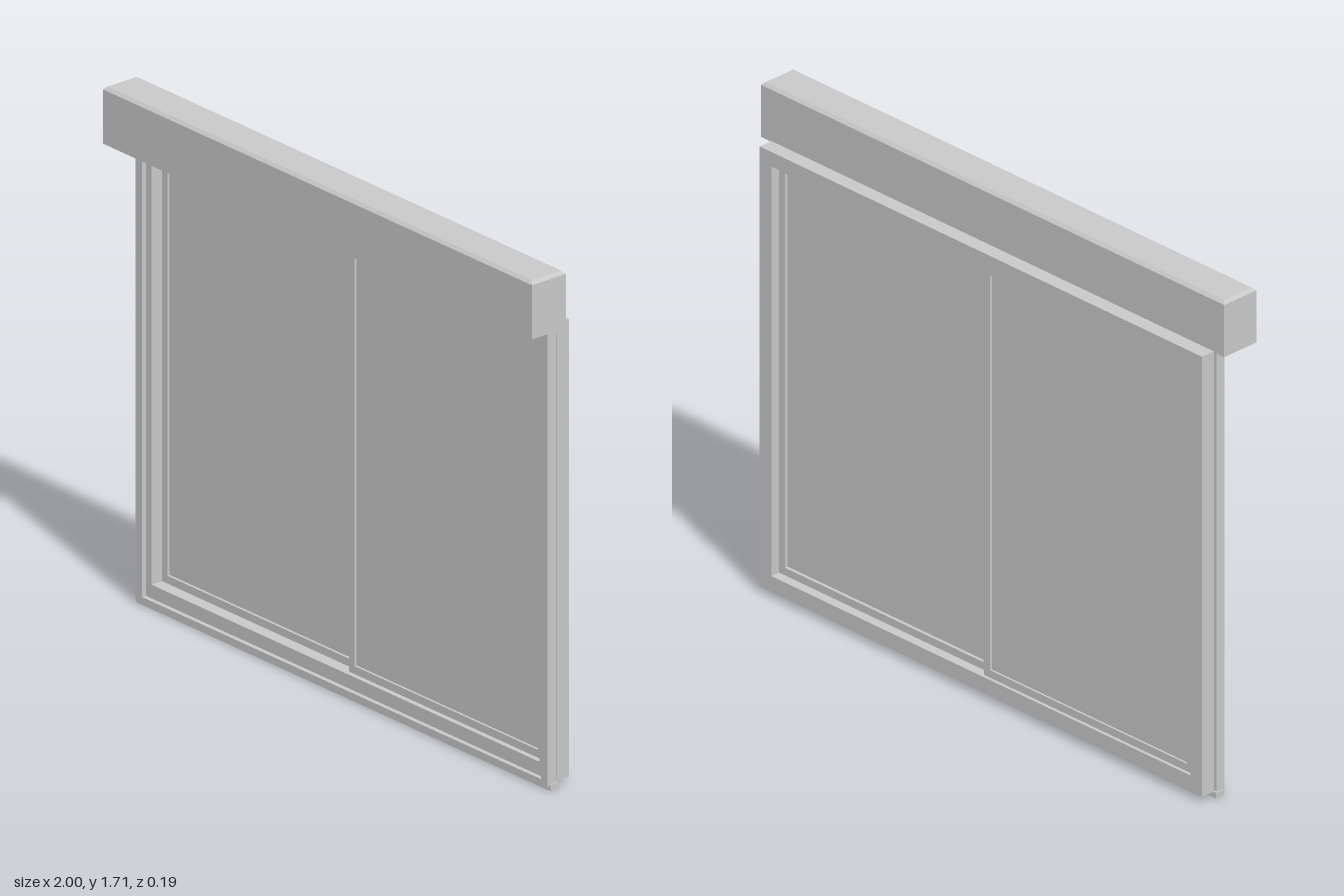
import * as THREE from 'three';

export function createModel() {
  const root = new THREE.Group();
  root.name = 'slidingWindow';
  const grey = new THREE.MeshStandardMaterial({ color: 0xc9c9c9 });
  grey.name = 'lightGrey';

  function add(name, geometry, parent = root) {
    const mesh = new THREE.Mesh(geometry, grey);
    mesh.name = name;
    parent.add(mesh);
    return mesh;
  }

  // Box given by its limits on each axis
  function box(name, x0, x1, y0, y1, z0, z1, parent) {
    const g = new THREE.BoxGeometry(x1 - x0, y1 - y0, z1 - z0);
    g.translate((x0 + x1) / 2, (y0 + y1) / 2, (z0 + z1) / 2);
    return add(name, g, parent);
  }

  // Rectangular ring: outer and inner are [x0, x1, y0, y1]
  function ring(name, outer, inner, z0, z1, parent) {
    const trace = (path, [x0, x1, y0, y1]) =>
      path.moveTo(x0, y0).lineTo(x1, y0).lineTo(x1, y1).lineTo(x0, y1).closePath();
    const shape = new THREE.Shape();
    trace(shape, outer);
    const hole = new THREE.Path();
    trace(hole, inner);
    shape.holes.push(hole);
    const g = new THREE.ExtrudeGeometry(shape, { depth: z1 - z0, bevelEnabled: false });
    g.translate(0, 0, z0);
    return add(name, g, parent);
  }

  // Shutter housing with a chamfered lid
  box('shutterBox', -1, 1, 1.522, 1.7, -0.043, 0.093);
  const lid = new THREE.BoxGeometry(2, 0.01, 0.136);
  const p = lid.attributes.position;
  for (let i = 0; i < p.count; i++) {
    if (p.getY(i) > 0) {
      p.setX(i, p.getX(i) - Math.sign(p.getX(i)) * 0.01);
      p.setZ(i, p.getZ(i) - Math.sign(p.getZ(i)) * 0.01);
    }
  }
  lid.computeVertexNormals();
  lid.translate(0, 1.705, 0.025);
  add('shutterBoxLid', lid);

  // Fixed frame: front lip (its head sits inside the housing), body and shallow groove
  const frame = new THREE.Group();
  frame.name = 'outerFrame';
  root.add(frame);
  const opening = [-0.905, 0.905, 0.075, 1.475];
  ring('frontLip', [-0.96, 0.96, 0.012, 1.54], [-0.93, 0.93, 0.03, 1.525], -0.018, -0.003, frame);
  ring('frontFrame', [-0.96, 0.96, 0.012, 1.525], opening, -0.037, -0.018, frame);
  ring('frameGroove', [-0.95, 0.95, 0.025, 1.525], opening, -0.043, -0.037, frame);
  ring('backFrame', [-0.955, 0.955, 0.02, 1.525], opening, -0.093, -0.043, frame);
  box('sillLip', -0.965, 0.965, 0, 0.02, -0.043, -0.01, frame);

  // Two sliding sashes on separate tracks
  const w = 0.026;
  const sashes = [
    ['frontSash', -0.003, 0.905, -0.06, -0.035, -0.046],
    ['backSash', -0.905, -0.003, -0.082, -0.06, -0.072],
  ];
  for (const [name, x0, x1, z0, z1, zGlass] of sashes) {
    const sash = new THREE.Group();
    sash.name = name;
    root.add(sash);
    ring('sashFrame', [x0, x1, 0.075, 1.475], [x0 + w, x1 - w, 0.075 + w, 1.475 - w], z0, z1, sash);
    box('pane', x0 + w, x1 - w, 0.075 + w, 1.475 - w, zGlass - 0.003, zGlass + 0.003, sash);
  }

  return root;
}
